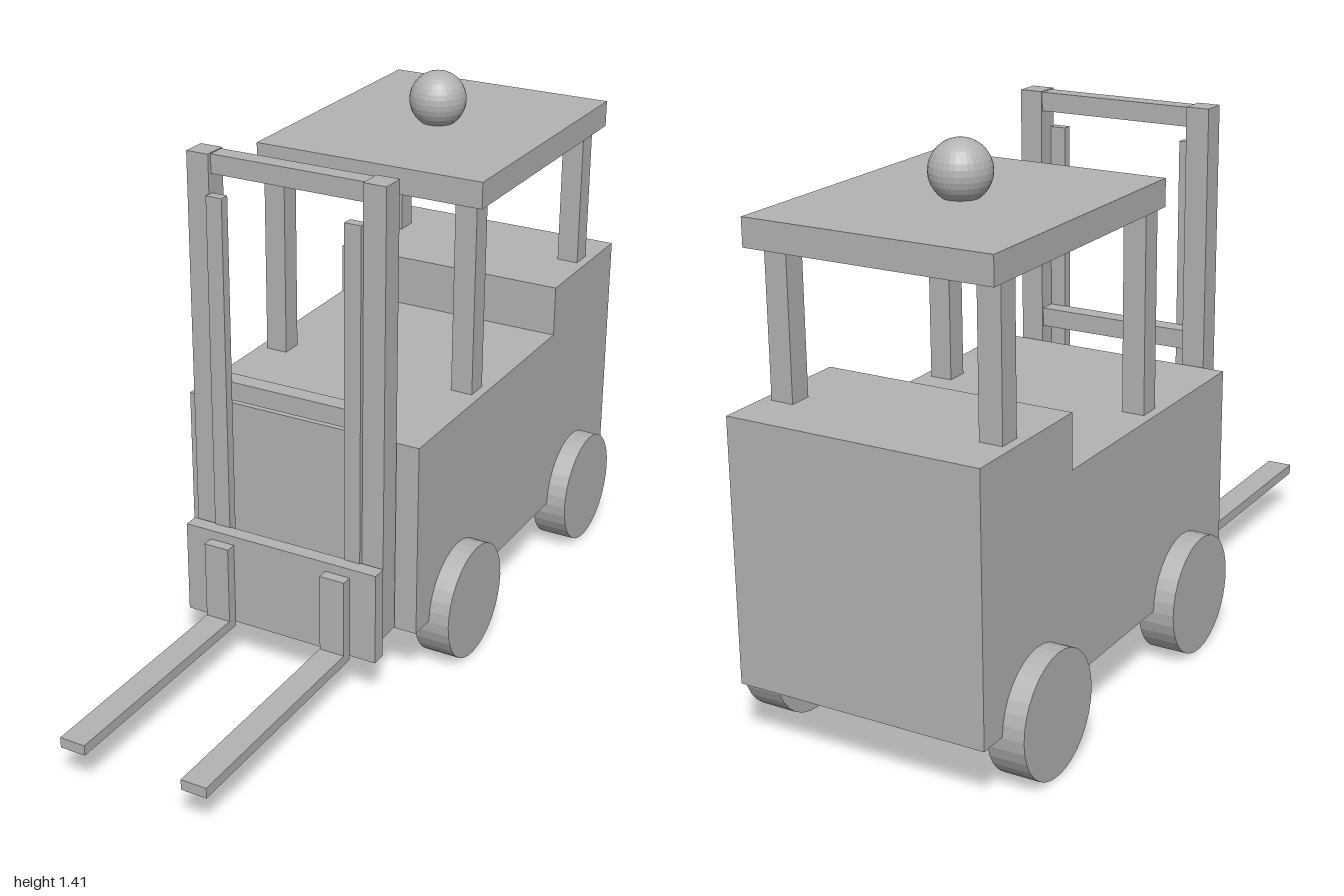
import * as THREE from 'three';

export function createModel() {
  const model = new THREE.Group();
  model.name = 'forklift';
  const grey = new THREE.MeshStandardMaterial({ color: 0xb3b3b3, flatShading: true });
  grey.name = 'plain grey';

  const add = (name, geometry) => {
    const mesh = new THREE.Mesh(geometry, grey);
    mesh.name = name;
    model.add(mesh);
    return mesh;
  };
  // Box given by its extents along each axis
  const box = (name, x0, x1, y0, y1, z0, z1) =>
    add(name, new THREE.BoxGeometry(x1 - x0, y1 - y0, z1 - z0))
      .position.set((x0 + x1) / 2, (y0 + y1) / 2, (z0 + z1) / 2);
  // Same box on both sides
  const pair = (name, x0, x1, ...rest) => {
    box('left' + name, x0, x1, ...rest);
    box('right' + name, -x1, -x0, ...rest);
  };

  // Body with raised counterweight: side profile (z, y) extruded across the width
  const profile = new THREE.Shape([
    [-1, 0.16], [0.21, 0.16], [0.21, 0.69], [-0.6, 0.69], [-0.6, 0.83], [-1, 0.83],
  ].map(([z, y]) => new THREE.Vector2(-z, y)));
  const bodyGeometry = new THREE.ExtrudeGeometry(profile, { depth: 0.67, bevelEnabled: false });
  bodyGeometry.translate(0, 0, -0.335).rotateY(Math.PI / 2);
  add('body', bodyGeometry);

  // Overhead guard
  box('roof', -0.327, 0.327, 1.204, 1.275, -0.92, -0.127);
  pair('FrontPost', 0.25, 0.31, 0.69, 1.204, -0.195, -0.135);
  pair('RearPost', 0.25, 0.31, 0.83, 1.204, -0.865, -0.805);

  // Beacon
  add('beacon', new THREE.SphereGeometry(0.077, 32, 16)).position.set(0, 1.337, -0.525);

  // Mast: outer rails, inner rails and cross bars
  pair('OuterRail', 0.213, 0.275, 0.165, 1.377, 0.215, 0.28);
  pair('InnerRail', 0.17, 0.215, 0.165, 1.275, 0.265, 0.292);
  for (const [name, y] of [['top', 1.325], ['middle', 0.73], ['bottom', 0.165]]) {
    box(name + 'CrossBar', -0.215, 0.215, y, y + 0.05, 0.22, 0.268);
  }

  // Carriage and forks
  box('carriage', -0.28, 0.28, 0.12, 0.373, 0.288, 0.328);
  pair('ForkShank', 0.136, 0.206, 0.107, 0.348, 0.328, 0.358);
  pair('ForkTine', 0.136, 0.206, 0.107, 0.135, 0.358, 1);

  // Wheels
  for (const [end, z] of [['Front', -0.02], ['Rear', -0.765]]) {
    for (const [side, s] of [['left', 1], ['right', -1]]) {
      const wheel = new THREE.CylinderGeometry(0.157, 0.157, 0.098, 32);
      wheel.rotateZ(Math.PI / 2);
      add(side + end + 'Wheel', wheel).position.set(s * 0.342, 0.157, z);
    }
  }
  return model;
}
